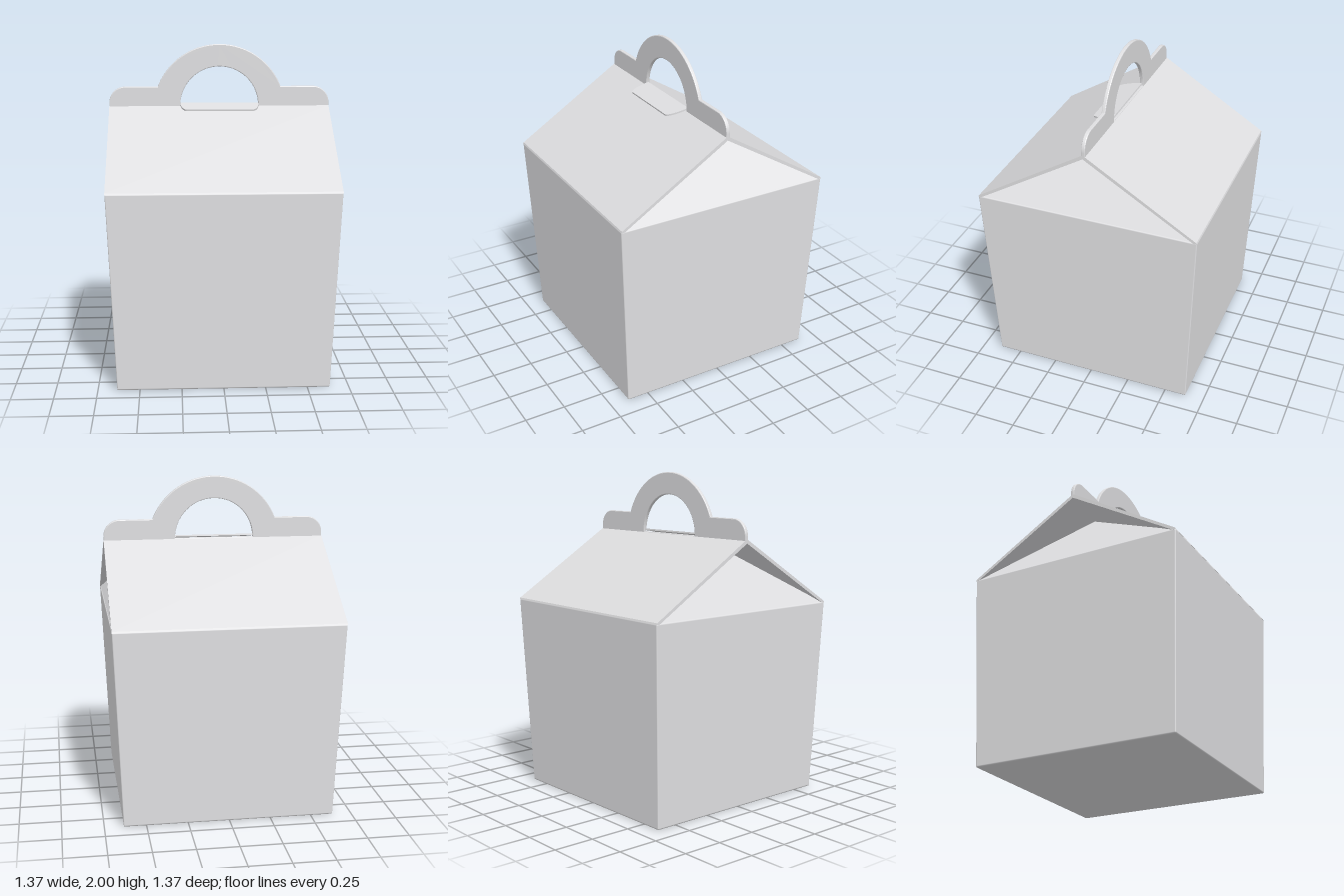
import * as THREE from 'three';
import { RoundedBoxGeometry } from 'three/addons/geometries/RoundedBoxGeometry.js';

const EAVE = 1.2, RIDGE = 1.62, HALF_BASE = 0.635, HALF_TOP = 0.683;

export function createModel() {
  const model = new THREE.Group();
  model.name = 'gableBox';

  const card = new THREE.MeshStandardMaterial({ color: 0xdedee0 });
  card.name = 'paleGreyCard';
  card.side = THREE.DoubleSide;

  const add = (name, geometry) => {
    const mesh = new THREE.Mesh(geometry, card);
    mesh.name = name;
    model.add(mesh);
    return mesh;
  };

  // Body: a box with soft edges that widens towards the top
  const body = new RoundedBoxGeometry(2, EAVE, 2, 3, 0.01);
  body.translate(0, EAVE / 2, 0);
  const p = body.attributes.position;
  for (let i = 0; i < p.count; i++) {
    const half = THREE.MathUtils.lerp(HALF_BASE, HALF_TOP, p.getY(i) / EAVE);
    p.setX(i, p.getX(i) * half);
    p.setZ(i, p.getZ(i) * half);
  }
  add('body', body);

  // Roof: two sloping card panels as one folded section run along x
  const roofShape = new THREE.Shape([
    [HALF_TOP, EAVE - 0.006], [HALF_TOP - 0.004, EAVE + 0.004], [0.008, RIDGE],
    [-0.008, RIDGE], [-HALF_TOP + 0.004, EAVE + 0.004], [-HALF_TOP, EAVE - 0.006],
    [-HALF_TOP + 0.02, EAVE - 0.006], [0, RIDGE - 0.02], [HALF_TOP - 0.02, EAVE - 0.006],
  ].map(([z, y]) => new THREE.Vector2(z, y)));
  const roof = new THREE.ExtrudeGeometry(roofShape, { depth: 2 * HALF_TOP, bevelEnabled: false });
  roof.translate(0, 0, -HALF_TOP);
  roof.rotateY(Math.PI / 2);
  add('roof', roof);

  // Gable ends: triangles leaning inwards beneath the roof
  for (const side of [1, -1]) {
    const gable = new THREE.BufferGeometry();
    gable.setAttribute('position', new THREE.Float32BufferAttribute([
      side * 0.68, EAVE - 0.003, side * 0.665,
      side * 0.68, EAVE - 0.003, -side * 0.665,
      side * 0.41, 1.575, 0,
    ], 3));
    gable.computeVertexNormals();
    add(side > 0 ? 'leftGable' : 'rightGable', gable);
  }

  // Handle: upright strip with rounded shoulders, an arch and a hand hole
  const r = 0.41, cy = 1.59, shoulder = 1.74, corner = 0.1;
  const a = Math.asin((shoulder - cy) / r);
  const outline = new THREE.Shape();
  outline.moveTo(-HALF_TOP, RIDGE - 0.012);
  outline.lineTo(HALF_TOP, RIDGE - 0.012);
  outline.absarc(HALF_TOP - corner, shoulder - corner, corner, 0, Math.PI / 2);
  outline.absarc(0, cy, r, a, Math.PI - a);
  outline.absarc(-HALF_TOP + corner, shoulder - corner, corner, Math.PI / 2, Math.PI);
  outline.closePath();
  const hole = new THREE.Path();
  hole.moveTo(0.245, RIDGE);
  hole.absarc(0, RIDGE, 0.243, 0, Math.PI);
  hole.closePath();
  outline.holes.push(hole);
  const handle = new THREE.ExtrudeGeometry(outline, {
    depth: 0.014, curveSegments: 32,
    bevelThickness: 0.005, bevelSize: 0.005, bevelOffset: -0.005, bevelSegments: 2,
  });
  handle.translate(0, 0, -0.01);
  add('handle', handle);

  // Flap folded forward out of the hand hole
  const flapShape = new THREE.Shape();
  flapShape.moveTo(-0.243, -0.005);
  flapShape.lineTo(0.243, -0.005);
  flapShape.bezierCurveTo(0.243, 0.06, 0.232, 0.105, 0.215, 0.128);
  flapShape.quadraticCurveTo(0.21, 0.134, 0.2, 0.134);
  flapShape.lineTo(-0.2, 0.134);
  flapShape.quadraticCurveTo(-0.21, 0.134, -0.215, 0.128);
  flapShape.bezierCurveTo(-0.232, 0.105, -0.243, 0.06, -0.243, -0.005);
  const flap = add('handFlap', new THREE.ExtrudeGeometry(flapShape, {
    depth: 0.01, bevelEnabled: false, curveSegments: 10,
  }));
  flap.rotation.x = THREE.MathUtils.degToRad(101);
  flap.position.y = 1.637;

  return model;
}
